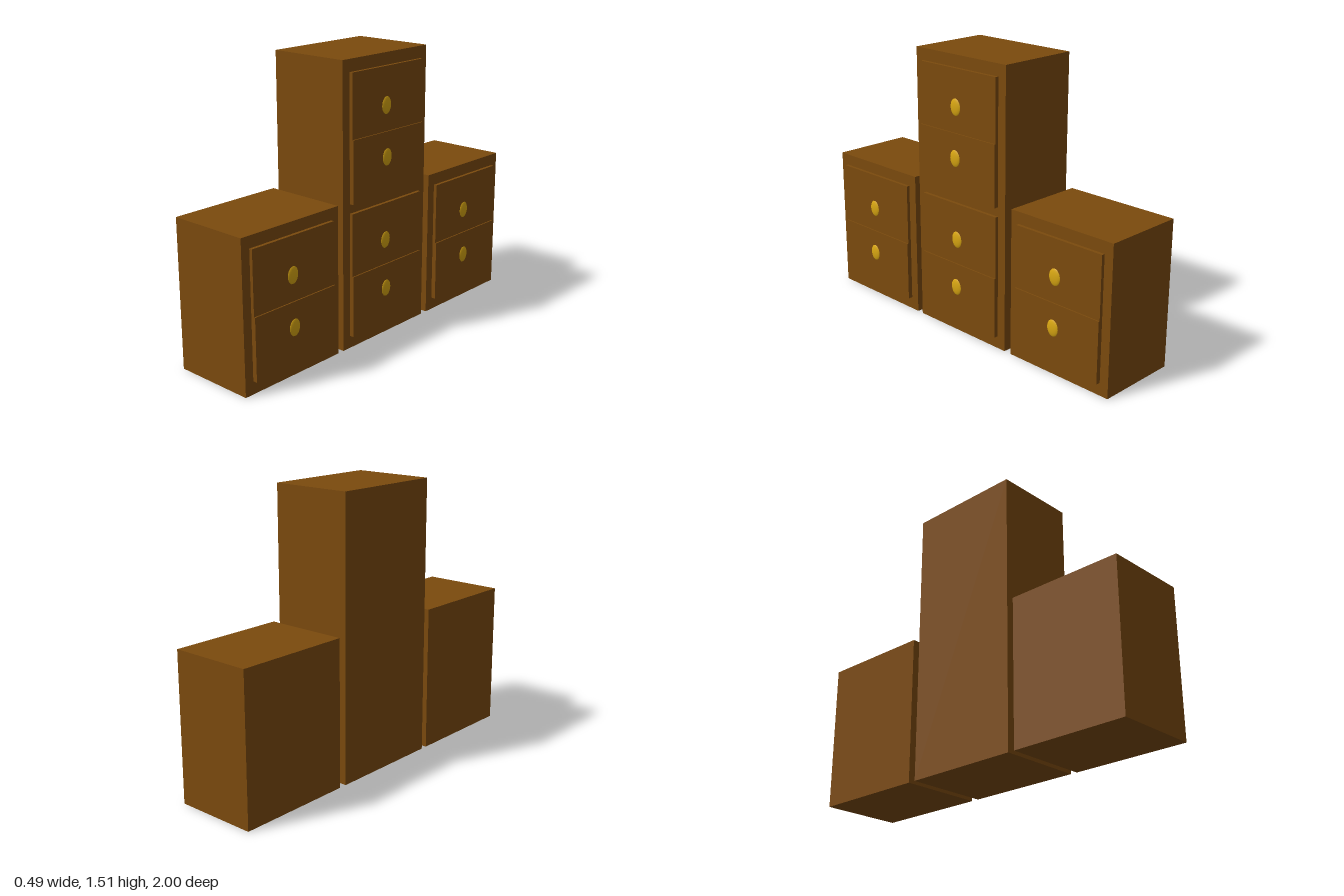
import * as THREE from 'three';

const wood = new THREE.MeshStandardMaterial({ color: 0x7b4a0d });
wood.name = 'brown wood';
const brass = new THREE.MeshStandardMaterial({ color: 0xd8a612 });
brass.name = 'golden brass';

const BACK = -0.245, FRONT = 0.21;

// Box given by its extents on each axis
function box(name, [x0, x1], [y0, y1], [z0, z1]) {
  const geometry = new THREE.BoxGeometry(x1 - x0, y1 - y0, z1 - z0);
  const mesh = new THREE.Mesh(geometry, wood);
  mesh.position.set((x0 + x1) / 2, (y0 + y1) / 2, (z0 + z1) / 2);
  mesh.name = name;
  return mesh;
}

// Flattened oval knob, half sunk into the drawer face
const knobGeometry = new THREE.SphereGeometry(1, 20, 14);
knobGeometry.scale(0.012, 0.048, 0.037);

function drawer(name, y0, y1, z, face, knobY) {
  const group = new THREE.Group();
  group.name = name;
  group.add(box(name + 'Panel', [FRONT - 0.01, face], [y0, y1], [z - 0.27, z + 0.27]));
  const knob = new THREE.Mesh(knobGeometry, brass);
  knob.name = name + 'Knob';
  knob.position.set(face - 0.004, knobY, z + 0.014);
  group.add(knob);
  return group;
}

// A pair of drawers; the lower one stands slightly further out
function drawerPair(y, z) {
  const group = new THREE.Group();
  group.name = 'drawerPair';
  group.add(drawer('lowerDrawer', y + 0.068, y + 0.398, z, 0.235, y + 0.265));
  group.add(drawer('upperDrawer', y + 0.398, y + 0.731, z, 0.228, y + 0.532));
  return group;
}

function cabinet(name, z, height, levels) {
  const group = new THREE.Group();
  group.name = name;
  group.add(box(name + 'Body', [BACK, FRONT], [0, height], [z - 0.32, z + 0.32]));
  for (const y of levels) group.add(drawerPair(y, z));
  return group;
}

export function createModel() {
  const model = new THREE.Group();
  model.name = 'drawerCabinets';
  // Two low cabinets flank a tall one
  model.add(cabinet('frontCabinet', 0.68, 0.793, [0]));
  model.add(cabinet('tallCabinet', 0.003, 1.508, [0, 0.713]));
  model.add(cabinet('rearCabinet', -0.68, 0.795, [0]));
  return model;
}
